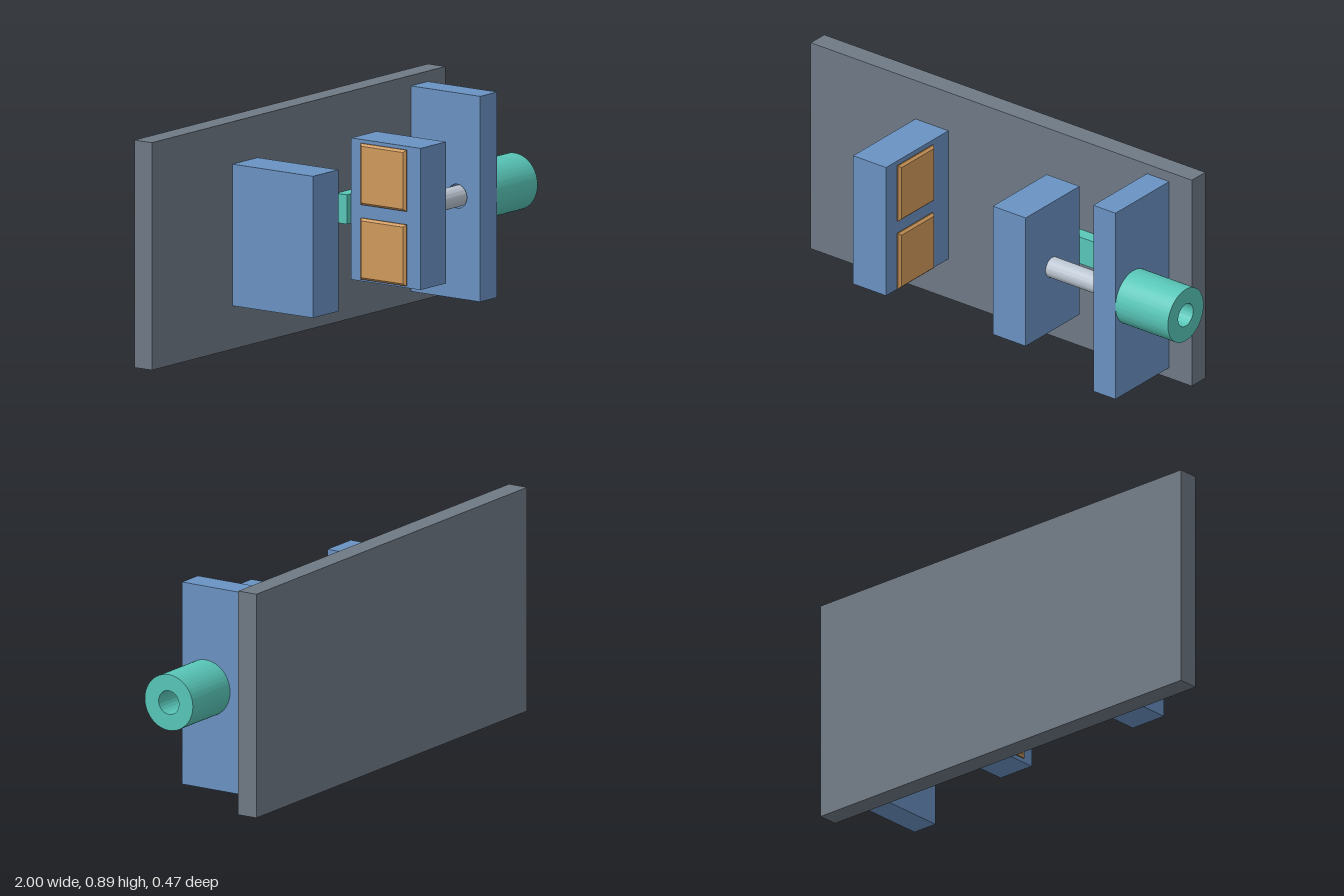
import * as THREE from 'three';
import { toCreasedNormals } from 'three/addons/utils/BufferGeometryUtils.js';

const mat = (name, color) => new THREE.MeshStandardMaterial({ name, color });

export function createModel() {
  const model = new THREE.Group();
  model.name = 'wallClamp';

  const slate = mat('slateGrey', 0x6f7985);
  const blue = mat('steelBlue', 0x6a92c2);
  const teal = mat('teal', 0x58c6b8);
  const tan = mat('tan', 0xd09a5c);
  const silver = mat('silver', 0xbcc6d2);

  const axisY = 0.445, axisZ = 0.07; // centre line of the screw

  const add = (name, geometry, material) => {
    const mesh = new THREE.Mesh(geometry, material);
    mesh.name = name;
    model.add(mesh);
    return mesh;
  };

  // Box given by its limits on each axis
  const block = (name, material, [x0, x1], [y0, y1], [z0, z1]) =>
    add(name, new THREE.BoxGeometry(x1 - x0, y1 - y0, z1 - z0), material)
      .position.set((x0 + x1) / 2, (y0 + y1) / 2, (z0 + z1) / 2);

  // Profile drawn in (-z, y), extruded along x
  const extrudeX = (shape, x0, x1) => {
    const g = new THREE.ExtrudeGeometry(shape, { depth: x1 - x0, bevelEnabled: false, curveSegments: 48 });
    g.rotateY(Math.PI / 2).translate(x0, 0, 0);
    return toCreasedNormals(g, 0.5);
  };
  const circle = (Type, r) => new Type().absarc(-axisZ, axisY, r, 0, Math.PI * 2);

  // Back plate, jaws and guide rail
  block('backPlate', slate, [-1, 0.855], [0, 0.89], [-0.237, -0.153]);
  block('fixedJaw', blue, [-0.49, -0.33], [0.17, 0.724], [-0.153, 0.235]);
  block('movingJaw', blue, [0.19, 0.35], [0.17, 0.724], [-0.1, 0.235]);
  block('guideRail', teal, [0.165, 0.605], [0.39, 0.505], [-0.153, -0.1]);

  // Bevelled grip pads, two on each facing jaw surface
  const bevel = 0.009, padH = 0.24, padW = 0.22, padT = 0.023;
  const padShape = new THREE.Shape();
  const w = padW / 2 - bevel, h = padH / 2 - bevel;
  padShape.moveTo(-w, -h).lineTo(w, -h).lineTo(w, h).lineTo(-w, h).closePath();
  const padGeometry = new THREE.ExtrudeGeometry(padShape, {
    depth: padT - 2 * bevel, bevelThickness: bevel, bevelSize: bevel, bevelSegments: 1,
  });
  padGeometry.translate(0, 0, bevel).rotateY(Math.PI / 2);
  for (const y of [0.3, 0.592]) {
    add('fixedJawPad', padGeometry, tan).position.set(-0.33, y, 0.067);
    const pad = add('movingJawPad', padGeometry, tan);
    pad.position.set(0.19, y, 0.067);
    pad.rotation.y = Math.PI;
  }

  // Screw support with a clearance hole
  const support = new THREE.Shape();
  support.moveTo(-0.181, 0.045).lineTo(0.153, 0.045).lineTo(0.153, 0.849).lineTo(-0.181, 0.849).closePath();
  support.holes.push(circle(THREE.Path, 0.047));
  add('screwSupport', extrudeX(support, 0.637, 0.745), blue);

  // Hollow knob
  const knob = circle(THREE.Shape, 0.111);
  knob.holes.push(circle(THREE.Path, 0.047));
  add('knob', extrudeX(knob, 0.745, 1), teal);

  // Screw rod
  add('screwRod', extrudeX(circle(THREE.Shape, 0.041), 0.345, 0.745), silver);

  return model;
}
